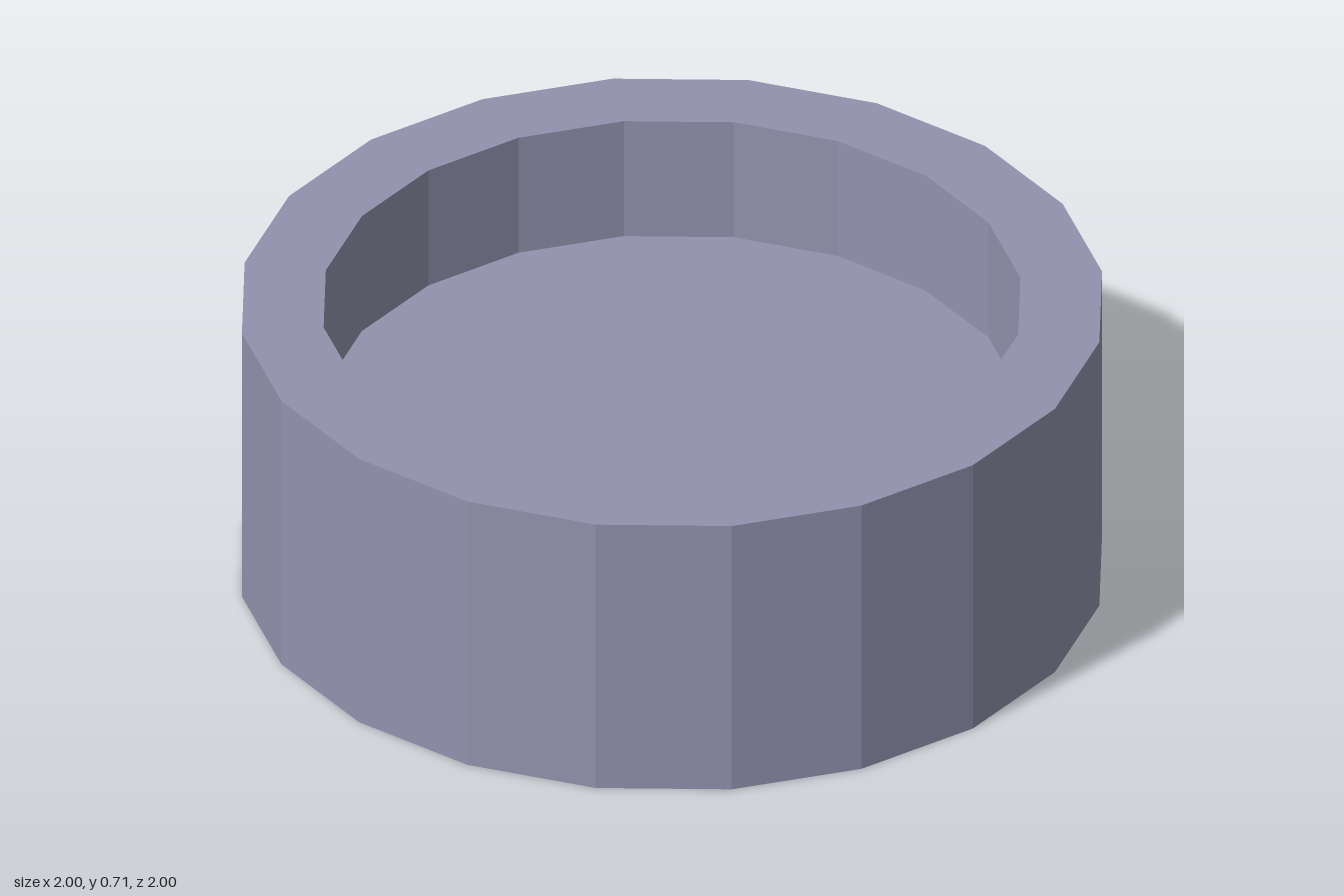
import * as THREE from 'three';

const SIDES = 20;
const HEIGHT = 0.71;
const FLOOR = 0.4;
const OUTER = 1;
const INNER = 0.81;

export function createModel() {
  const model = new THREE.Group();
  model.name = 'roundDish';

  const material = new THREE.MeshStandardMaterial({ color: 0x9292ae, flatShading: true });

  // Solid faceted body with a recess: underside, outer wall, rim, inner wall, floor
  const profile = [
    [0, 0],
    [OUTER, 0],
    [OUTER, HEIGHT],
    [INNER, HEIGHT],
    [INNER, FLOOR],
    [0, FLOOR],
  ].map(([r, y]) => new THREE.Vector2(r, y));

  const body = new THREE.Mesh(new THREE.LatheGeometry(profile, SIDES), material);
  body.name = 'dishBody';
  model.add(body);

  return model;
}
